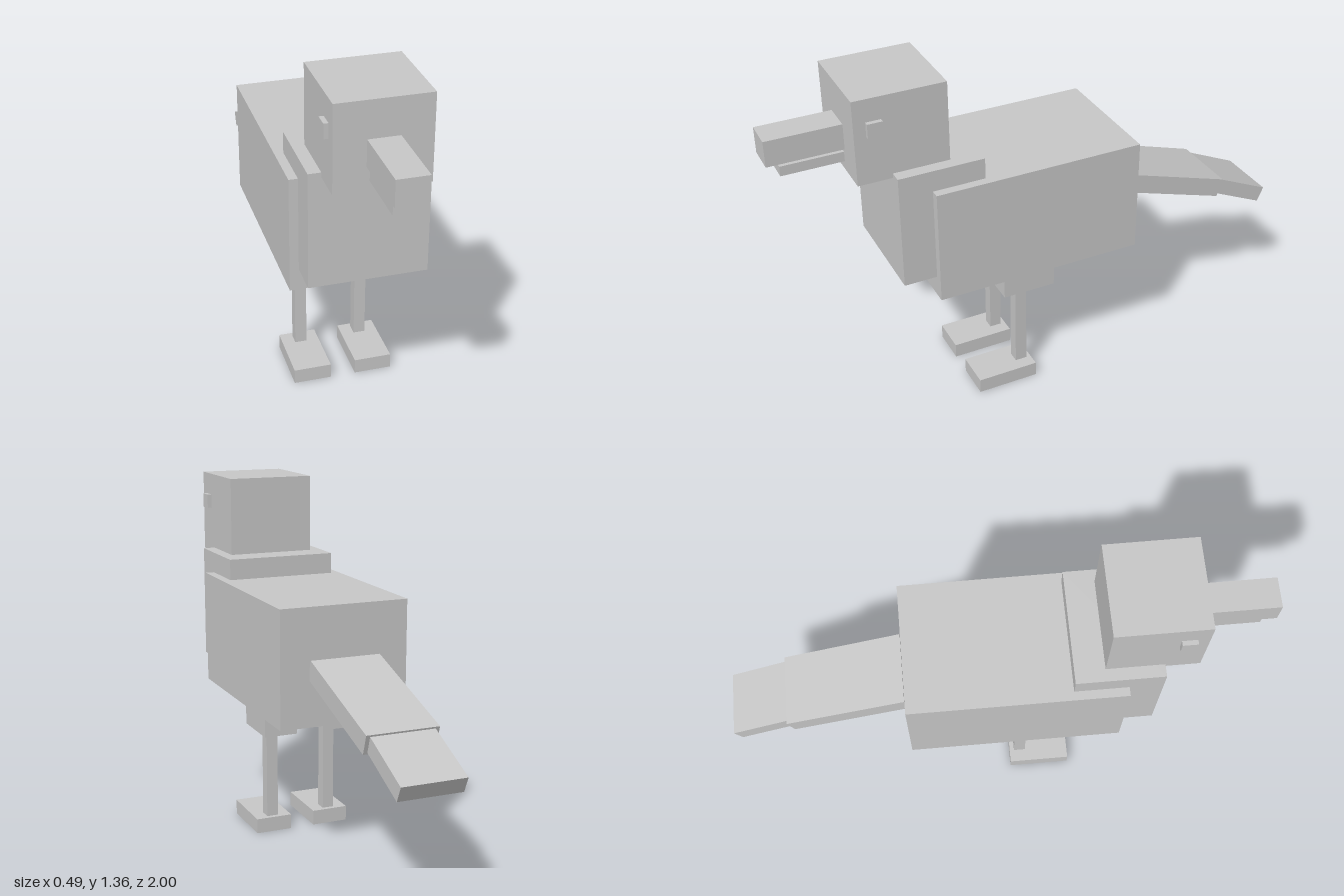
import * as THREE from 'three';

export function createModel() {
  const bird = new THREE.Group();
  bird.name = 'bird';
  const grey = new THREE.MeshStandardMaterial({ color: 0xc8c8c8 });
  grey.name = 'plain grey';

  // Box between two opposite corners
  function block(name, [x0, y0, z0], [x1, y1, z1]) {
    const mesh = new THREE.Mesh(new THREE.BoxGeometry(x1 - x0, y1 - y0, z1 - z0), grey);
    mesh.position.set((x0 + x1) / 2, (y0 + y1) / 2, (z0 + z1) / 2);
    mesh.name = name;
    bird.add(mesh);
  }

  // Flat tail piece, tilted down towards the back
  function tailPiece(name, size, y, z, degrees) {
    const mesh = new THREE.Mesh(new THREE.BoxGeometry(...size), grey);
    mesh.position.set(0, y, z);
    mesh.rotation.x = -THREE.MathUtils.degToRad(degrees);
    mesh.name = name;
    bird.add(mesh);
  }

  // Trunk and head
  block('body', [-0.247, 0.538, -0.317], [0.247, 0.977, 0.48]);
  block('breast', [-0.214, 0.62, 0.283], [0.214, 1.057, 0.603]);
  block('head', [-0.168, 1.04, 0.393], [0.168, 1.356, 0.728]);

  // Beak
  block('upperBeak', [-0.056, 1.125, 0.72], [0.056, 1.221, 1]);
  block('lowerBeak', [-0.045, 1.073, 0.72], [0.045, 1.11, 0.953]);

  // Tail
  tailPiece('tailBase', [0.27, 0.075, 0.477], 0.678, -0.542, 17.6);
  tailPiece('tailTip', [0.24, 0.062, 0.246], 0.558, -0.874, 24.3);

  // Mirrored parts
  for (const [side, s] of [['left', 1], ['right', -1]]) {
    const pair = (name, x0, x1, y0, y1, z0, z1) =>
      block(side + name, [Math.min(s * x0, s * x1), y0, z0], [Math.max(s * x0, s * x1), y1, z1]);
    pair('Eye', 0.16, 0.185, 1.218, 1.272, 0.63, 0.685);
    pair('Thigh', 0.055, 0.185, 0.416, 0.545, -0.003, 0.203);
    pair('Leg', 0.097, 0.142, 0.05, 0.42, 0.093, 0.139);
    pair('Foot', 0.048, 0.191, 0, 0.058, 0.075, 0.315);
  }
  return bird;
}
